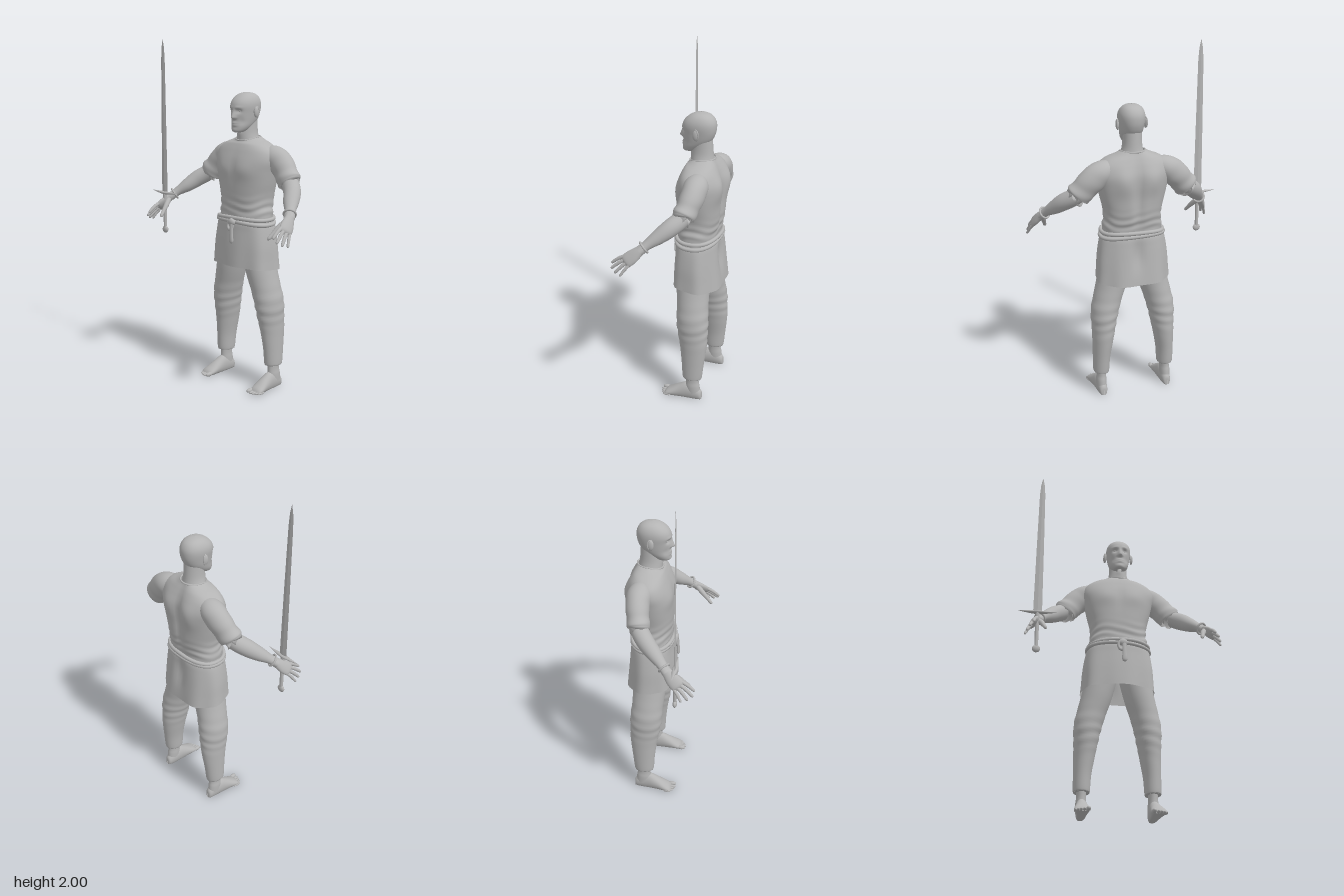
import * as THREE from 'three';

const grey = new THREE.MeshStandardMaterial({ color: 0xb4b4b4, side: THREE.DoubleSide });
grey.name = 'clay grey';

const V = (x, y, z) => new THREE.Vector3(x, y, z);
const bump = (d, s) => Math.exp(-(d * d) / (s * s));
const spow = (v, e) => Math.sign(v) * Math.pow(Math.abs(v), e);

// Smooth interpolation through rows of numbers, t from 0 to 1
function sample(rows, t) {
  const n = rows.length - 1, f = Math.min(Math.max(t, 0), 1) * n;
  const i = Math.min(Math.floor(f), n - 1), s = f - i;
  const r = k => rows[Math.min(Math.max(k, 0), n)];
  return rows[0].map((_, c) => {
    const a = r(i - 1)[c], b = r(i)[c], d = r(i + 1)[c], e = r(i + 2)[c];
    const m0 = (d - a) / 2, m1 = (e - b) / 2;
    return (2 * s ** 3 - 3 * s * s + 1) * b + (s ** 3 - 2 * s * s + s) * m0 + (3 * s * s - 2 * s ** 3) * d + (s ** 3 - s * s) * m1;
  });
}

// Closed-ring surface from a rule fn(t, angle)
function skin(steps, seg, fn) {
  const pos = [], idx = [];
  for (let i = 0; i <= steps; i++) for (let j = 0; j < seg; j++) pos.push(...fn(i / steps, j / seg * Math.PI * 2).toArray());
  for (let i = 0; i < steps; i++) for (let j = 0; j < seg; j++) {
    const a = i * seg + j, b = i * seg + (j + 1) % seg;
    idx.push(a, b, b + seg, a, b + seg, a + seg);
  }
  const g = new THREE.BufferGeometry();
  g.setAttribute('position', new THREE.Float32BufferAttribute(pos, 3));
  g.setIndex(idx);
  g.computeVertexNormals();
  return g;
}

// Horizontal rings, bottom to top: [y, zFront, zBack, halfWidth]
function trunk(rows, steps, seg, e, shape = () => {}) {
  return skin(steps, seg, (t, a) => {
    const [y, zf, zb, w] = sample(rows, t);
    const p = V(w * spow(Math.sin(a), e), y, (zf + zb) / 2 + (zf - zb) / 2 * spow(Math.cos(a), e));
    shape(p, Math.cos(a), a, t);
    return p;
  });
}

// Rings across a path: [x, y, z, radiusAlongRef, otherRadius]
function limb(rows, ref = V(0, 0, 1), steps = 24, seg = 20, shape = () => 1) {
  return skin(steps, seg, (t, a) => {
    const [x, y, z, ra, rb] = sample(rows, t);
    const p = sample(rows, t - 0.01), q = sample(rows, t + 0.01);
    const T = V(q[0] - p[0], q[1] - p[1], q[2] - p[2]).normalize();
    const u = ref.clone().addScaledVector(T, -ref.dot(T)).normalize(), v = T.clone().cross(u);
    const k = shape(t, a);
    return V(x, y, z).addScaledVector(u, ra * k * Math.cos(a)).addScaledVector(v, rb * k * Math.sin(a));
  });
}

function ball(x, y, z, rx, ry, rz) {
  return new THREE.SphereGeometry(1, 20, 14).scale(rx, ry, rz).translate(x, y, z);
}

function mirrored(geo) {
  const g = geo.clone().scale(-1, 1, 1), ix = g.index.array;
  for (let i = 0; i < ix.length; i += 3) [ix[i], ix[i + 1]] = [ix[i + 1], ix[i]];
  g.computeVertexNormals();
  return g;
}

export function createModel() {
  const model = new THREE.Group(), body = new THREE.Group(), sword = new THREE.Group();
  body.name = 'swordsman'; sword.name = 'sword';
  body.position.x = 0.015;
  model.add(body, sword);
  const add = (name, geo, parent = body) => {
    const m = new THREE.Mesh(geo, grey);
    m.name = name;
    parent.add(m);
  };
  const pair = (name, geo) => { add('left' + name, geo); add('right' + name, mirrored(geo)); };

  // Head with sculpted brow, sockets, nose, lips and chin
  add('head', trunk([
    [1.482, 0.0, -0.035, 0.012], [1.49, 0.014, -0.06, 0.034], [1.515, 0.016, -0.1, 0.051], [1.55, 0.014, -0.145, 0.061],
    [1.59, 0.016, -0.166, 0.068], [1.63, 0.018, -0.172, 0.073], [1.66, 0.006, -0.167, 0.069],
    [1.685, -0.02, -0.15, 0.055], [1.7, -0.05, -0.122, 0.033], [1.706, -0.083, -0.086, 0.002],
  ], 72, 88, 0.92, (p, front) => {
    if (front < 0.1) return;
    const x = Math.abs(p.x), y = p.y;
    const ridge = y > 1.566 ? Math.max(0, 1 - (y - 1.566) / 0.055) : Math.max(0, 1 - (1.566 - y) / 0.012);
    p.z += 0.024 * ridge * bump(x, 0.009 + 0.006 * ridge)
      - 0.012 * bump(x - 0.028, 0.015) * bump(y - 1.603, 0.012)
      + 0.004 * bump(x - 0.026, 0.022) * bump(y - 1.622, 0.008)
      + 0.006 * bump(x, 0.02) * (bump(y - 1.537, 0.006) + bump(y - 1.524, 0.006))
      + 0.004 * bump(x, 0.018) * bump(y - 1.498, 0.012)
      - 0.004 * bump(x - 0.042, 0.012) * bump(y - 1.545, 0.02);
  }));
  pair('Eye', ball(0.028, 1.602, -0.007, 0.011, 0.008, 0.009));
  pair('Ear', ball(0.073, 1.597, -0.082, 0.009, 0.029, 0.017).rotateZ(-0.005));
  pair('EarRim', new THREE.TorusGeometry(0.018, 0.004, 8, 20).scale(0.85, 1.5, 1).rotateY(Math.PI / 2 - 0.35).translate(0.08, 1.598, -0.084));
  add('neck', trunk([
    [1.4, -0.03, -0.17, 0.08], [1.45, -0.03, -0.16, 0.062], [1.49, -0.032, -0.155, 0.054], [1.56, -0.04, -0.15, 0.052],
  ], 14, 32, 1, (p, front) => { p.z += 0.006 * bump(p.x, 0.012) * bump(p.y - 1.48, 0.02) * Math.max(front, 0); }));

  // Tunic with chest, shoulder blades and spine groove
  add('tunic', trunk([
    [0.985, 0.028, -0.195, 0.168], [1.03, 0.024, -0.198, 0.17], [1.07, 0.027, -0.207, 0.163], [1.13, 0.03, -0.215, 0.168],
    [1.2, 0.032, -0.218, 0.185], [1.27, 0.032, -0.222, 0.2], [1.33, 0.022, -0.218, 0.212], [1.38, 0.004, -0.203, 0.2],
    [1.415, -0.012, -0.188, 0.158], [1.44, -0.022, -0.175, 0.1], [1.455, -0.028, -0.168, 0.07],
  ], 60, 80, 0.84, (p, front, a) => {
    const x = Math.abs(p.x), y = p.y;
    if (front < 0) {
      p.z += 0.02 * bump(x, 0.024) * bump(y - 1.22, 0.17);
      p.z -= 0.016 * bump(x - 0.085, 0.05) * bump(y - 1.31, 0.08);
    } else {
      p.z += 0.007 * bump(x - 0.085, 0.06) * bump(y - 1.28, 0.05) - 0.004 * bump(x, 0.02) * bump(y - 1.28, 0.08);
      p.y -= 0.018 * front * bump(y - 1.455, 0.025);
    }
    const fold = 0.003 * Math.sin(y * 130 + Math.sin(a * 3) * 2) * bump(y - 1.06, 0.05);
    p.x += fold * Math.sin(a);
    p.z += fold * front;
  }));
  const collar = [];
  for (let i = 0; i < 32; i++) {
    const a = i / 32 * Math.PI * 2, c = Math.cos(a);
    collar.push(V(0.07 * Math.sin(a), 1.454 - 0.017 * Math.max(c, 0), -0.098 + 0.071 * c));
  }
  add('collar', new THREE.TubeGeometry(new THREE.CatmullRomCurve3(collar, true), 64, 0.005, 8, true));

  // Skirt of the tunic, open at the hem
  add('skirt', trunk([
    [0.708, 0.052, -0.23, 0.212], [0.76, 0.05, -0.225, 0.208], [0.84, 0.045, -0.217, 0.203], [0.92, 0.038, -0.21, 0.192],
    [0.97, 0.034, -0.205, 0.18], [1.01, 0.02, -0.19, 0.16],
  ], 30, 80, 0.84, (p, front, a, t) => {
    const k = 0.005 * (1 - t) * Math.sin(a * 7 + 1);
    p.x += k * Math.sin(a);
    p.z += k * front + (front < 0 ? 0.018 * bump(p.x, 0.03) * bump(p.y - 0.88, 0.09) : 0);
    p.y += 0.012 * (1 - t) * front;
  }));

  // Rope belt in two turns, with knot and hanging ends
  [[0.995, 0.176, 0.004], [0.975, 0.181, -0.004]].forEach(([y, w, tilt]) => {
    const pts = [];
    for (let i = 0; i < 40; i++) {
      const a = i / 40 * Math.PI * 2, c = spow(Math.cos(a), 0.84);
      pts.push(V(w * spow(Math.sin(a), 0.84), y + tilt * Math.sin(a) + 0.006 * Math.cos(a * 2), -0.083 + 0.118 * c));
    }
    add('belt', new THREE.TubeGeometry(new THREE.CatmullRomCurve3(pts, true), 120, 0.0115, 10, true));
  });
  add('beltKnot', ball(0.012, 0.978, 0.046, 0.026, 0.022, 0.016));
  add('beltLoop', new THREE.TorusGeometry(0.02, 0.008, 8, 20).scale(1, 1.3, 1).translate(0.004, 0.958, 0.05));
  add('beltEnd', limb([[0.016, 0.975, 0.052, 0.008, 0.012], [0.018, 0.92, 0.056, 0.008, 0.012], [0.019, 0.87, 0.057, 0.009, 0.015], [0.019, 0.855, 0.057, 0.002, 0.004]]));

  // Arms: sleeves, forearms and wrist bands
  pair('Sleeve', limb([
    [0.315, 1.222, -0.104, 0.052, 0.06], [0.311, 1.227, -0.105, 0.062, 0.072], [0.28, 1.263, -0.115, 0.061, 0.069], [0.23, 1.315, -0.126, 0.065, 0.074],
    [0.175, 1.352, -0.125, 0.066, 0.064], [0.11, 1.37, -0.12, 0.04, 0.04],
  ], V(0, 0, 1), 32, 32, (t, a) => 1 + 0.025 * Math.sin(t * 26 + Math.sin(a) * 2) * bump(t - 0.3, 0.3)));
  pair('Forearm', limb([
    [0.48, 1.068, 0.08, 0.024, 0.03], [0.455, 1.1, 0.045, 0.026, 0.03], [0.42, 1.135, 0.0, 0.039, 0.042], [0.38, 1.178, -0.053, 0.048, 0.048],
    [0.33, 1.215, -0.095, 0.048, 0.049], [0.28, 1.26, -0.115, 0.048, 0.05],
  ], V(0, 1, 0), 32, 28));
  const band = new THREE.TorusGeometry(0.032, 0.006, 10, 32);
  band.applyQuaternion(new THREE.Quaternion().setFromUnitVectors(V(0, 0, 1), V(0.5, -0.55, 0.67).normalize()));
  pair('WristBand', band.translate(0.466, 1.088, 0.06));

  // Hands: palm, four fingers and thumb
  const across = V(0.4, -0.6, -0.7).normalize();
  pair('Palm', limb([
    [0.465, 1.09, 0.055, 0.026, 0.022], [0.483, 1.066, 0.083, 0.029, 0.021], [0.498, 1.04, 0.112, 0.038, 0.019],
    [0.511, 1.015, 0.142, 0.038, 0.015], [0.516, 1.004, 0.153, 0.022, 0.004],
  ], across, 20, 24));
  [[0.505, 0.984, 0.232], [0.526, 0.962, 0.226], [0.54, 0.945, 0.2], [0.55, 0.936, 0.166]].forEach(([x, y, z], i) => {
    const k = V(0.51, 1.017, 0.14).addScaledVector(across, (i - 1.5) * 0.019), r = i === 3 ? 0.0085 : 0.01;
    const at = s => [k.x + (x - k.x) * s, k.y + (y - k.y) * s + 0.016 * s * (1 - s), k.z + (z - k.z) * s];
    pair('Finger', limb([[...at(-0.2), r, r], [...at(0.3), r, r], [...at(0.65), r * 0.92, r * 0.92], [...at(0.93), r * 0.75, r * 0.75], [...at(1), 0.001, 0.001]], across, 16, 12));
  });
  pair('Thumb', limb([
    [0.478, 1.06, 0.095, 0.016, 0.016], [0.457, 1.025, 0.135, 0.015, 0.015], [0.446, 0.993, 0.168, 0.011, 0.011],
    [0.438, 0.971, 0.19, 0.009, 0.009], [0.435, 0.964, 0.197, 0.001, 0.001],
  ], across, 18, 14));

  // Trouser legs with baggy knees, then ankles
  pair('TrouserLeg', limb([
    [0.197, 0.147, -0.112, 0.05, 0.038], [0.197, 0.145, -0.112, 0.058, 0.046], [0.194, 0.24, -0.114, 0.067, 0.05], [0.185, 0.35, -0.114, 0.08, 0.06],
    [0.178, 0.43, -0.108, 0.088, 0.069], [0.17, 0.51, -0.102, 0.093, 0.078], [0.148, 0.6, -0.095, 0.092, 0.081], [0.12, 0.7, -0.088, 0.096, 0.086],
    [0.095, 0.82, -0.085, 0.098, 0.09], [0.085, 0.93, -0.085, 0.09, 0.08],
  ], V(0, 0, 1), 56, 36, (t, a) => 1 + 0.028 * Math.sin(t * 75 + 2 * Math.sin(a)) * bump(t - 0.5, 0.13)));
  pair('Ankle', limb([
    [0.198, 0.035, -0.118, 0.045, 0.03], [0.198, 0.08, -0.115, 0.043, 0.03], [0.197, 0.12, -0.113, 0.039, 0.027], [0.197, 0.2, -0.113, 0.042, 0.03],
  ]));

  // Feet: heel to ball, then toes
  const foot = [
    [-0.171, 0.197, 0.002, 0.03], [-0.165, 0.197, 0.02, 0.055], [-0.13, 0.197, 0.029, 0.085], [-0.08, 0.198, 0.033, 0.097],
    [-0.03, 0.2, 0.037, 0.074], [0.015, 0.203, 0.042, 0.047], [0.042, 0.205, 0.04, 0.03], [0.055, 0.205, 0.03, 0.014],
  ];
  pair('Foot', skin(32, 32, (t, a) => {
    const [z, cx, w, h] = sample(foot, t);
    return V(cx + w * Math.cos(a), Math.max(0, h * (0.42 + 0.58 * Math.sin(a))), z);
  }));
  for (let i = 0; i < 5; i++) {
    const r = i ? 0.0085 - i * 0.0004 : 0.0125;
    pair('Toe', ball([0.173, 0.194, 0.211, 0.227, 0.241][i], r + 0.001, [0.056, 0.058, 0.053, 0.045, 0.034][i], r, r, 0.025));
  }

  // Sword: faceted blade, pointed guard, grip and pommel
  const sx = -0.468, sz = 0.122;
  const bladeRows = [[1.095, 0.025, 0.005], [1.5, 0.021, 0.004], [1.88, 0.016, 0.003], [1.95, 0.011, 0.002], [2, 0.0005, 0.0005]];
  const blade = skin(4, 4, (t, a) => {
    const [y, w, d] = bladeRows[Math.round(t * 4)];
    return V(sx + w * Math.sin(a), y, sz + d * Math.cos(a));
  }).toNonIndexed();
  blade.computeVertexNormals();
  add('blade', blade, sword);
  add('guard', limb([
    [sx - 0.107, 1.102, sz, 0.001, 0.001], [sx - 0.055, 1.098, sz, 0.009, 0.006], [sx, 1.096, sz, 0.015, 0.009],
    [sx + 0.055, 1.098, sz, 0.009, 0.006], [sx + 0.107, 1.102, sz, 0.001, 0.001],
  ]), sword);
  add('grip', new THREE.CylinderGeometry(0.012, 0.01, 0.21, 20).translate(sx, 0.99, sz), sword);
  add('pommel', ball(sx, 0.873, sz, 0.023, 0.022, 0.012), sword);
  return model;
}
